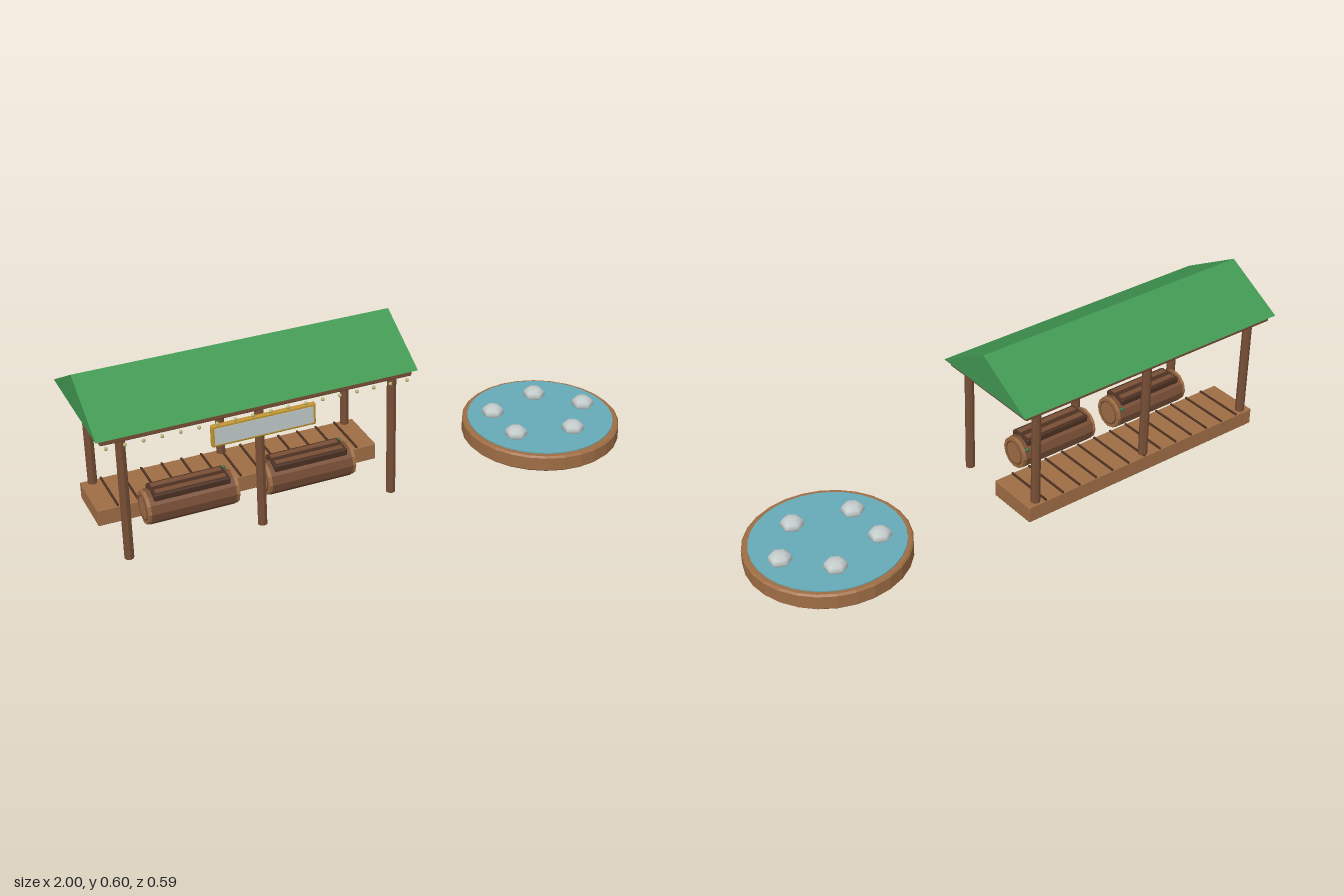
import * as THREE from 'three';
import { RoundedBoxGeometry } from 'three/addons/geometries/RoundedBoxGeometry.js';

const paint = (name, color) => {
  const m = new THREE.MeshStandardMaterial({ color });
  m.name = name;
  return m;
};

export function createModel() {
  const model = new THREE.Group();
  model.name = 'marketStallWithPond';
  const lightWood = paint('light wood', 0x9f6e45);
  const wood = paint('brown wood', 0x784f36);
  const darkWood = paint('dark wood', 0x4c3122);
  const green = paint('roof green', 0x419852);
  const water = paint('water blue', 0x65abb8);
  const stone = paint('stone grey', 0xc2caca);
  const gold = paint('gold', 0xc2962f);
  const bulb = paint('bulb cream', 0xb5b878);
  const knobGreen = paint('knob green', 0x2f7a48);

  const add = (name, geo, mat, x, y, z, parent = model) => {
    const m = new THREE.Mesh(geo, mat);
    m.name = name;
    m.position.set(x, y, z);
    parent.add(m);
    return m;
  };
  const box = (w, h, d, r = 0.004) => new RoundedBoxGeometry(w, h, d, 1, r);
  // Faceted cylinder, optionally lying along x
  const drum = (r, h, sides, alongX = false) => {
    const g = new THREE.CylinderGeometry(r, r, h, sides).toNonIndexed();
    if (alongX) g.rotateZ(Math.PI / 2);
    g.computeVertexNormals();
    return g;
  };

  // Gabled roof over a flat ceiling slab
  const gable = new THREE.Shape();
  gable.moveTo(-0.23, 0);
  gable.lineTo(0.23, 0);
  gable.lineTo(0, 0.13);
  gable.closePath();
  const roofGeo = new THREE.ExtrudeGeometry(gable, { depth: 1.12, bevelEnabled: false });
  roofGeo.rotateY(Math.PI / 2);
  add('roof', roofGeo, green, -1, 0.468, -0.065);
  add('ceilingSlab', box(1.09, 0.025, 0.432, 0.006), wood, -0.44, 0.456, -0.064);

  // Front posts reach the ground, back posts stand on the deck
  for (const x of [-0.915, -0.445, 0.035]) {
    add('frontPost', drum(0.0168, 0.445, 8), wood, x, 0.2225, 0.138);
    add('backPost', drum(0.0168, 0.373, 8), wood, x, 0.2585, -0.245);
  }

  // Deck with cross battens
  add('deck', box(1.03, 0.062, 0.2), lightWood, -0.44, 0.039, -0.165);
  const boards = 14;
  for (let i = 1; i < boards; i++) {
    add('deckBatten', new THREE.BoxGeometry(0.007, 0.008, 0.196), darkWood,
      -0.955 + (i * 1.03) / boards, 0.071, -0.165);
  }

  // Two lying barrels with lids, end rings and side knobs
  for (const x of [-0.656, -0.225]) {
    const barrel = new THREE.Group();
    barrel.name = 'barrel';
    barrel.position.set(x, 0.09, 0.008);
    model.add(barrel);
    add('barrelBody', drum(0.061, 0.3, 12, true), wood, 0, 0, 0, barrel);
    for (const s of [-1, 1]) {
      add('barrelEnd', drum(0.059, 0.012, 12, true), lightWood, s * 0.156, 0, 0, barrel);
      const ring = new THREE.TorusGeometry(0.044, 0.003, 4, 12);
      ring.rotateY(Math.PI / 2);
      add('endRing', ring, wood, s * 0.162, 0, 0, barrel);
    }
    add('barrelLid', box(0.272, 0.026, 0.09, 0.006), darkWood, 0, 0.051, 0, barrel);
    for (const z of [-0.022, 0.022]) {
      add('lidSlat', new THREE.BoxGeometry(0.25, 0.003, 0.022), wood, 0, 0.0642, z, barrel);
    }
    add('barrelKnob', new THREE.SphereGeometry(0.007, 8, 6), knobGreen, 0.15, 0.041, -0.061, barrel);
  }

  // Hanging sign
  add('signFrame', box(0.366, 0.08, 0.018, 0.006), gold, -0.44, 0.398, 0.165);
  add('signPanel', new THREE.BoxGeometry(0.345, 0.06, 0.004), stone, -0.44, 0.398, 0.174);

  // Row of small bulbs under the front eave
  for (let i = 0; i < 18; i++) {
    add('bulb', new THREE.SphereGeometry(0.0065, 8, 6), bulb, -0.97 + i * 0.0616, 0.443, 0.169);
  }

  // Round pond: wooden tub with a slight bevel, water and stones
  const tub = [[0, 0], [0.281, 0], [0.287, 0.006], [0.287, 0.054], [0.281, 0.06], [0, 0.06]]
    .map(([r, y]) => new THREE.Vector2(r, y));
  const tubGeo = new THREE.LatheGeometry(tub, 28).toNonIndexed();
  tubGeo.computeVertexNormals();
  add('pondTub', tubGeo, lightWood, 0.712, 0, 0.005);
  add('pondWater', new THREE.CylinderGeometry(0.266, 0.266, 0.005, 32), water, 0.712, 0.0615, 0.003);
  for (let i = 0; i < 5; i++) {
    const a = (i * Math.PI * 2) / 5;
    const rock = add('stone', new THREE.SphereGeometry(0.042, 6, 6), stone,
      0.712 + 0.184 * Math.cos(a), 0.073, 0.146 * Math.sin(a));
    rock.rotation.y = Math.PI / 2;
    rock.scale.y = 0.65;
  }
  return model;
}
